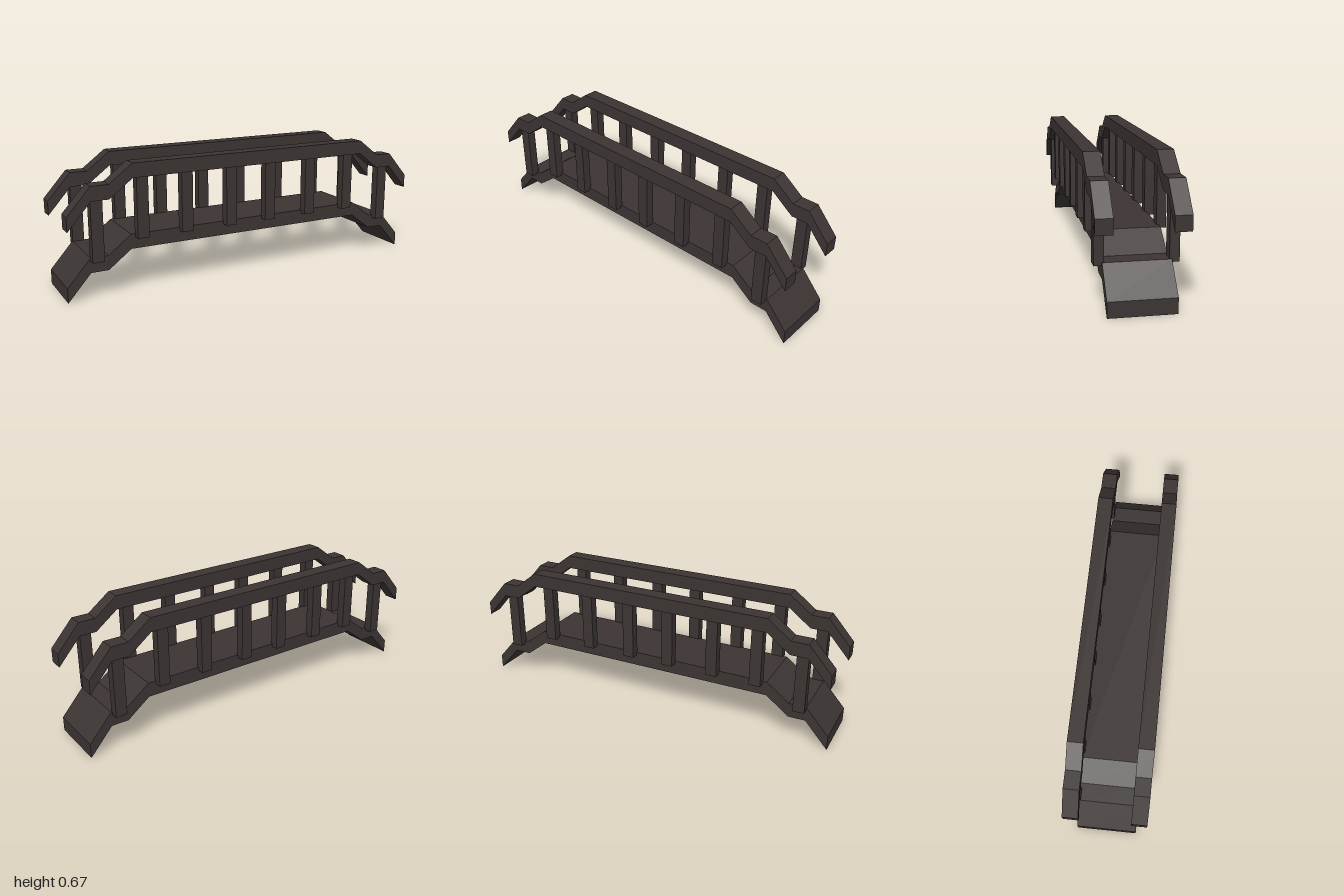
import * as THREE from 'three';

export function createModel() {
  const model = new THREE.Group();
  model.name = 'footbridge';
  const wood = new THREE.MeshStandardMaterial({ color: 0x3b3433 });
  wood.name = 'darkWood';

  // Stepped arch shared by the deck and the handrails (upper edge, left half)
  const arch = [[-1, 0.075], [-0.88, 0.211], [-0.79, 0.211], [-0.67, 0.302]];
  const topEdge = [...arch, ...arch.map(([x, y]) => [-x, y]).reverse()];

  // Bent plank: the arch with a constant vertical thickness, extruded along z
  function addPlank(name, lift, thickness, zMin, zMax) {
    const lower = topEdge.map(([x, y]) => [x, y - thickness]).reverse();
    const shape = new THREE.Shape(
      [...topEdge, ...lower].map(([x, y]) => new THREE.Vector2(x, y + lift)));
    const geometry = new THREE.ExtrudeGeometry(shape, { depth: zMax - zMin, bevelEnabled: false });
    geometry.translate(0, 0, zMin);
    const mesh = new THREE.Mesh(geometry, wood);
    mesh.name = name;
    model.add(mesh);
  }

  addPlank('deck', 0, 0.075, -0.155, 0.16);
  addPlank('frontHandrail', 0.366, 0.073, 0.132, 0.212);
  addPlank('backHandrail', 0.366, 0.073, -0.211, -0.131);

  // Railing posts; the outermost pair stands on the lower landings
  const postX = [-0.85, -0.617, -0.38, -0.13, 0.1, 0.35, 0.598, 0.842];
  for (const [side, z] of [['front', 0.1735], ['back', -0.1685]]) {
    postX.forEach((x, i) => {
      const onLanding = i === 0 || i === postX.length - 1;
      const bottom = onLanding ? 0.195 : 0.285;
      const top = onLanding ? 0.53 : 0.62;
      const post = new THREE.Mesh(new THREE.BoxGeometry(0.06, top - bottom, 0.047), wood);
      post.position.set(x, (bottom + top) / 2, z);
      post.name = `${side}Post${i + 1}`;
      model.add(post);
    });
  }
  return model;
}
